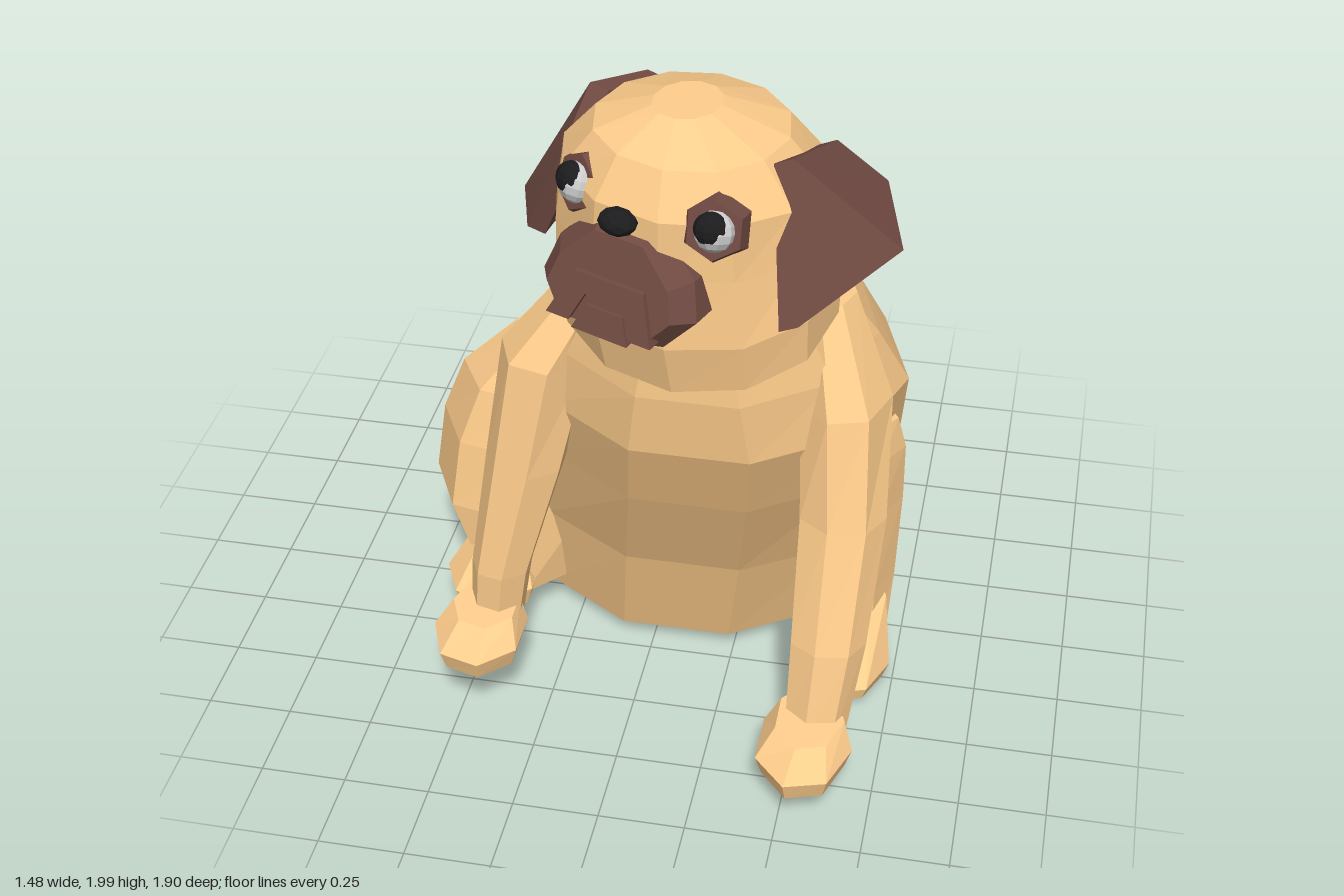
import * as THREE from 'three';
import { ConvexGeometry } from 'three/addons/geometries/ConvexGeometry.js';

const mat = (color) => new THREE.MeshStandardMaterial({ color, flatShading: true });
const fur = mat(0xffcd8c), brown = mat(0x704a42), black = mat(0x1c1c1e), white = mat(0xd8d8d8);
const V = (x, y, z) => new THREE.Vector3(x, y, z);

function add(parent, name, geometry, material) {
  const m = new THREE.Mesh(geometry, material);
  m.name = name;
  parent.add(m);
  return m;
}

// Skin over a list of equal-length point rings, closed at both ends
function skin(rings) {
  const n = rings[0].length, pos = [];
  const tri = (...pts) => pts.forEach((p) => pos.push(p.x, p.y, p.z));
  const mid = (r) => r.reduce((s, p) => s.add(p), V(0, 0, 0)).divideScalar(n);
  const first = rings[0], last = rings[rings.length - 1], c0 = mid(first), c1 = mid(last);
  for (let j = 0; j < n; j++) {
    const k = (j + 1) % n;
    for (let i = 0; i < rings.length - 1; i++) {
      const a = rings[i], b = rings[i + 1];
      tri(a[j], b[j], a[k]);
      tri(a[k], b[j], b[k]);
    }
    tri(c0, first[j], first[k]);
    tri(c1, last[k], last[j]);
  }
  const g = new THREE.BufferGeometry();
  g.setAttribute('position', new THREE.Float32BufferAttribute(pos, 3));
  g.computeVertexNormals();
  return g;
}

// Oval rings stacked upward: [y, centre x, centre z, radius x, radius z, slope along z]
function stack(specs, sides, turn = 0) {
  return skin(specs.map(([y, cx, cz, rx, rz, slope = 0]) =>
    Array.from({ length: sides }, (_, j) => {
      const a = ((j + turn) / sides) * Math.PI * 2;
      const dz = rz * Math.sin(a);
      return V(cx + rx * Math.cos(a), y + slope * dz, cz + dz);
    })));
}

function buildHead() {
  const head = new THREE.Group();
  head.name = 'head';
  head.position.set(0.14, 1.65, 0.33);
  head.rotation.set(0, -0.35, -0.05);

  add(head, 'skull', stack([
    [-0.275, 0.03, -0.01, 0.4, 0.325, -0.37],
    [-0.15, 0.02, 0, 0.41, 0.355, -0.25],
    [0.01, 0, 0, 0.39, 0.36, -0.1],
    [0.15, 0, 0.01, 0.365, 0.355],
    [0.27, 0, 0.03, 0.265, 0.275],
    [0.345, 0, 0.06, 0.09, 0.11],
  ], 12, 0.5), fur);

  // Muzzle: outline carried forward, leaning out toward the chin
  const outline = [[-0.1, 0.11], [0.08, 0.11], [0.2, 0], [0.23, -0.1],
    [0.15, -0.19], [-0.17, -0.19], [-0.24, -0.1], [-0.21, 0]];
  const layer = (s, z) => outline.map(([x, y]) => {
    const sy = -0.05 + (y + 0.05) * s;
    return V(x * s, sy, z - 0.3 * sy);
  });
  add(head, 'muzzle', skin([layer(1, 0.2), layer(1, 0.33), layer(0.8, 0.395)]), brown);

  // Drooping upper lip and chin
  const lean = (points, z, depth) => {
    const shape = new THREE.Shape(points.map(([x, y]) => new THREE.Vector2(x, y)));
    const g = new THREE.ExtrudeGeometry(shape, { depth, bevelEnabled: false });
    g.applyMatrix4(new THREE.Matrix4().set(1, 0, 0, 0, 0, 1, 0, 0, 0, -0.3, 1, z, 0, 0, 0, 1));
    return g;
  };
  add(head, 'upperLip', lean([[-0.17, -0.16], [-0.1, -0.16], [-0.065, -0.08], [0.055, -0.08],
    [0.09, -0.16], [0.15, -0.16], [0.1, -0.03], [-0.11, -0.03]], 0.36, 0.05), brown);
  add(head, 'chin', lean([[-0.09, -0.18], [0.08, -0.18], [0.05, -0.11], [-0.06, -0.11]], 0.34, 0.065), brown);

  const nose = add(head, 'nose', new THREE.IcosahedronGeometry(0.055, 1), black);
  nose.scale.set(1, 0.65, 0.85);
  nose.position.set(-0.01, 0.13, 0.375);

  for (const side of [-1, 1]) {
    const eye = new THREE.Group();
    eye.name = side > 0 ? 'leftEye' : 'rightEye';
    eye.position.set(0.02 + side * 0.2, 0.14, 0.275);
    eye.rotation.set(-0.25, side * 0.4, 0, 'YXZ');
    head.add(eye);
    const patch = add(eye, 'eyePatch', new THREE.CylinderGeometry(0.08, 0.1, 0.05, 6), brown);
    patch.rotation.x = Math.PI / 2;
    add(eye, 'eyeball', new THREE.SphereGeometry(0.058, 10, 8), white).position.z = 0.012;
    const pupil = add(eye, 'pupil', new THREE.SphereGeometry(0.046, 10, 8), black);
    pupil.position.set(-0.008, 0.01, 0.038);
    pupil.scale.z = 0.8;
  }
  return head;
}

export function createModel() {
  const dog = new THREE.Group();
  dog.name = 'sittingDog';

  // Body leans: the seat sits toward the right hip, the chest forward
  add(dog, 'body', stack([
    [0.09, 0.07, -0.2, 0.53, 0.42, -0.09],
    [0.4, 0.11, -0.14, 0.555, 0.475],
    [0.75, 0.155, -0.01, 0.55, 0.52],
    [1.0, 0.18, 0.09, 0.55, 0.53],
    [1.2, 0.18, 0.17, 0.465, 0.475],
    [1.4, 0.18, 0.26, 0.36, 0.375],
    [1.55, 0.16, 0.3, 0.3, 0.3],
  ], 10), fur);

  dog.add(buildHead());

  // Ears: folded plates, each outer corner paired with an inner one
  const ear = (name, corners, inward) => add(dog, name, new ConvexGeometry(
    corners.flatMap(([x, y, z]) => [V(x, y, z), V(x + inward, y - 0.02, z)])), brown);
  ear('leftEar', [[0.43, 1.91, 0.5], [0.51, 1.83, 0.23], [0.65, 1.71, 0.21],
    [0.72, 1.63, 0.43], [0.48, 1.51, 0.67]], -0.05);
  ear('rightEar', [[-0.16, 1.94, 0.24], [-0.04, 1.9, 0.06], [-0.21, 1.74, 0.01],
    [-0.37, 1.56, 0.17], [-0.34, 1.49, 0.27], [-0.22, 1.78, 0.34]], 0.05);

  // Legs and paws
  const limbs = {
    leftFrontLeg: [[0.17, 0.57, 0.69, 0.09, 0.08], [0.45, 0.59, 0.63, 0.11, 0.09],
      [0.8, 0.6, 0.5, 0.125, 0.11], [1.12, 0.58, 0.36, 0.13, 0.18], [1.4, 0.51, 0.29, 0.08, 0.1]],
    leftFrontPaw: [[0.11, 0.55, 0.77, 0.12, 0.17], [0.17, 0.55, 0.77, 0.14, 0.19],
      [0.24, 0.56, 0.73, 0.1, 0.13, -0.1]],
    rightFrontLeg: [[0.26, -0.42, 0.47, 0.08, 0.08], [0.45, -0.4, 0.47, 0.09, 0.09],
      [0.8, -0.33, 0.41, 0.12, 0.12], [1.15, -0.27, 0.33, 0.14, 0.17], [1.38, -0.13, 0.29, 0.09, 0.11]],
    rightFrontPaw: [[0.2, -0.45, 0.56, 0.12, 0.15], [0.26, -0.45, 0.56, 0.14, 0.17],
      [0.33, -0.44, 0.52, 0.1, 0.11, -0.1]],
    leftHindLeg: [[0.06, 0.61, 0.15, 0.1, 0.1], [0.3, 0.6, 0.1, 0.125, 0.14],
      [0.58, 0.58, 0.085, 0.155, 0.16], [0.77, 0.58, 0.1, 0.155, 0.14], [0.88, 0.59, 0.12, 0.12, 0.09]],
    leftHindPaw: [[0.025, 0.6, 0.27, 0.12, 0.16, 0.12], [0.08, 0.6, 0.27, 0.14, 0.17],
      [0.25, 0.61, 0.16, 0.1, 0.1, -0.4]],
    rightHindLeg: [[0.13, -0.44, 0.0, 0.16, 0.22], [0.4, -0.47, -0.04, 0.27, 0.26],
      [0.62, -0.45, -0.05, 0.26, 0.24], [0.8, -0.4, -0.05, 0.24, 0.2], [0.96, -0.34, -0.06, 0.13, 0.14]],
    rightHindPaw: [[0.11, -0.5, 0.17, 0.12, 0.15], [0.17, -0.51, 0.17, 0.15, 0.16],
      [0.26, -0.5, 0.12, 0.1, 0.1]],
  };
  for (const [name, rings] of Object.entries(limbs)) {
    add(dog, name, stack(rings, 7, name.startsWith('left') ? 0 : 0.5), fur);
  }

  // Tail: tapering tube curling sideways at the tip
  const path = new THREE.CatmullRomCurve3([V(0.2, 0.22, -0.48), V(0.21, 0.22, -0.62),
    V(0.19, 0.23, -0.76), V(0.13, 0.24, -0.86), V(0.01, 0.24, -0.89)]);
  const steps = 6, sides = 6;
  const tube = new THREE.TubeGeometry(path, steps, 0.1, sides);
  const p = tube.attributes.position, v = V(0, 0, 0);
  for (let i = 0; i < p.count; i++) {
    const t = Math.floor(i / (sides + 1)) / steps;
    v.fromBufferAttribute(p, i).lerp(path.getPointAt(t), 0.4 * t);
    p.setXYZ(i, v.x, v.y, v.z);
  }
  add(dog, 'tail', tube, fur);
  const tip = add(dog, 'tailTip', new THREE.IcosahedronGeometry(0.058, 0), fur);
  tip.position.copy(path.getPointAt(1));
  tip.scale.x = 0.6;

  return dog;
}
